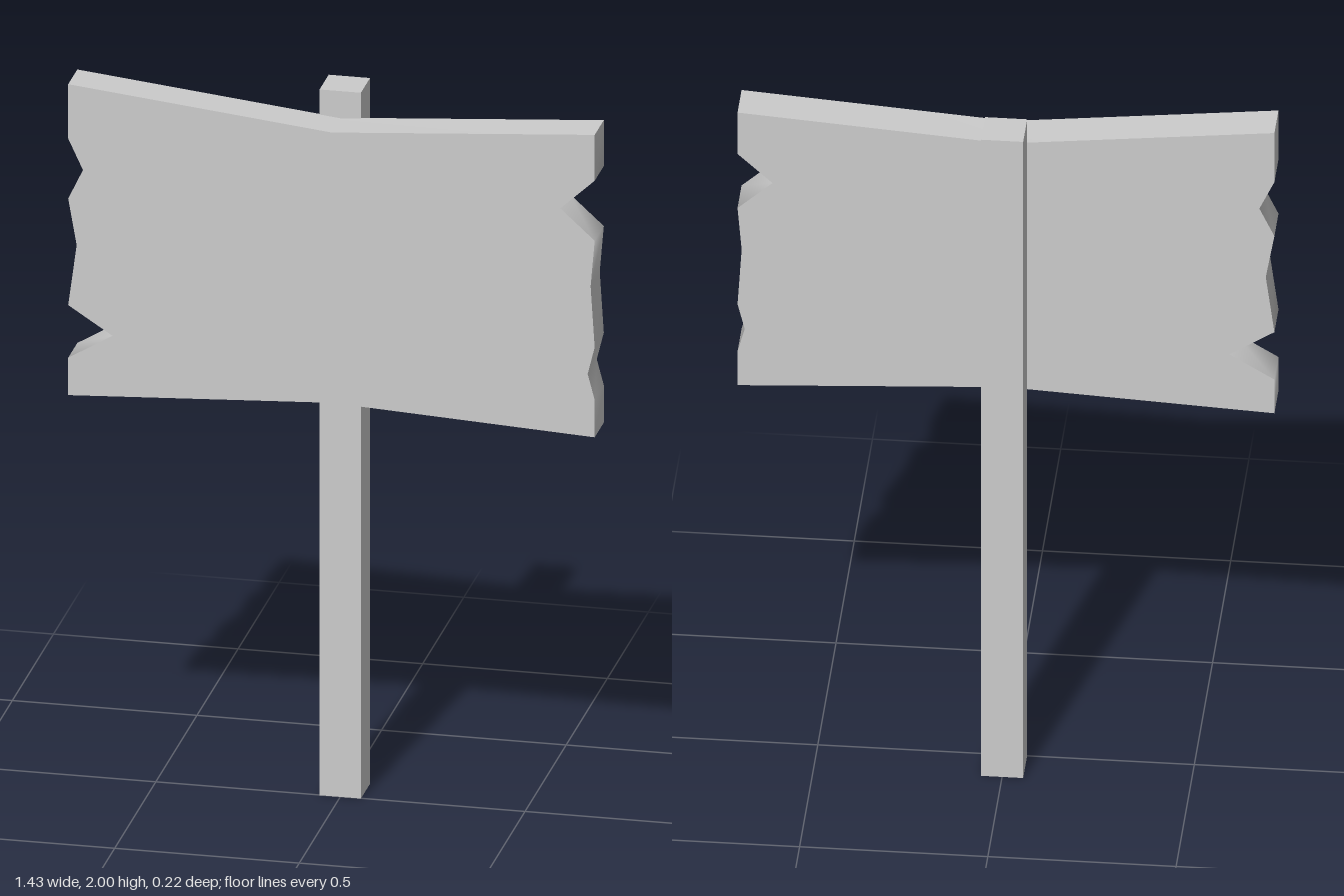
import * as THREE from 'three';
import { toCreasedNormals } from 'three/addons/utils/BufferGeometryUtils.js';

const HALF_WIDTH = 0.713;
const THICKNESS = 0.111;

// Heights shared by the chipped points on both ends, bottom to top
const CHIP_HEIGHTS = [1.225, 1.297, 1.374, 1.546, 1.676, 1.76, 1.846];
// How far each point is cut in from the end of the board
const LEFT_CUTS = [0, 0.019, 0, 0.011, 0, 0.093, 0];
const RIGHT_CUTS = [0, 0.12, 0, 0.023, 0, 0.04, 0];

function chippedEnd(side, cuts) {
  return cuts.map((cut, i) => new THREE.Vector2(side * (HALF_WIDTH - cut), CHIP_HEIGHTS[i]));
}

export function createModel() {
  const sign = new THREE.Group();
  sign.name = 'signpost';
  const material = new THREE.MeshStandardMaterial({ color: 0xcccccc });

  // Square post behind the board
  const post = new THREE.Mesh(new THREE.BoxGeometry(0.112, 2, THICKNESS), material);
  post.name = 'post';
  post.position.set(0, 1, -0.0535);
  sign.add(post);

  // Board outline, counter-clockwise: waisted in the middle, chipped at the ends
  const outline = new THREE.Shape([
    new THREE.Vector2(-HALF_WIDTH, 1.119),
    new THREE.Vector2(0, 1.157),
    new THREE.Vector2(HALF_WIDTH, 1.119),
    ...chippedEnd(1, LEFT_CUTS),
    new THREE.Vector2(HALF_WIDTH, 1.976),
    new THREE.Vector2(0, 1.923),
    new THREE.Vector2(-HALF_WIDTH, 2),
    ...chippedEnd(-1, RIGHT_CUTS).reverse(),
  ]);
  const slab = new THREE.ExtrudeGeometry(outline, { depth: THICKNESS, bevelEnabled: false });

  // Soft shading along the worn ends, sharp main corners
  const board = new THREE.Mesh(toCreasedNormals(slab, 1.2), material);
  board.name = 'board';
  board.position.z = -0.002;
  sign.add(board);

  return sign;
}
